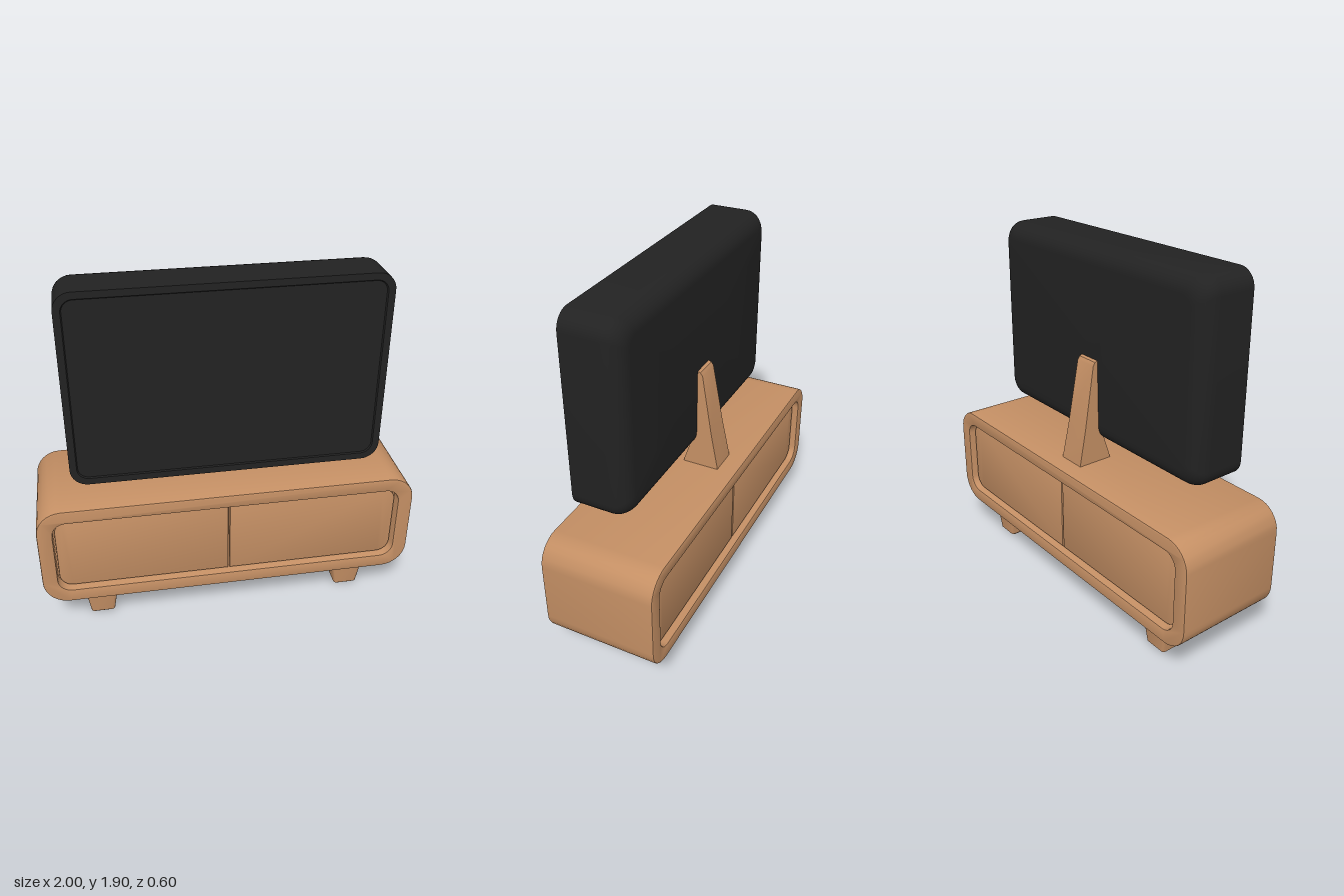
import * as THREE from 'three';
import { toCreasedNormals } from 'three/addons/utils/BufferGeometryUtils.js';

// Points of a rounded rectangle centred on the origin, counter-clockwise.
function roundedRect(w, h, r, steps = 8) {
  const points = [];
  for (let c = 0; c < 4; c++) {
    const cx = (c === 0 || c === 3 ? 1 : -1) * (w / 2 - r);
    const cy = (c < 2 ? 1 : -1) * (h / 2 - r);
    for (let i = 0; i <= steps; i++) {
      const a = (c + i / steps) * Math.PI / 2;
      points.push(new THREE.Vector2(cx + r * Math.cos(a), cy + r * Math.sin(a)));
    }
  }
  return points;
}

// Closed skin over rounded rectangles [w, h, r, z], capped at both ends.
function loft(sections, steps) {
  const pos = [], index = [];
  for (const [w, h, r, z] of sections)
    for (const p of roundedRect(w, h, r, steps)) pos.push(p.x, p.y, z);
  const n = pos.length / 3 / sections.length;
  const last = sections.length - 1;
  const c0 = pos.length / 3, c1 = c0 + 1;
  pos.push(0, 0, sections[0][3], 0, 0, sections[last][3]);
  for (let j = 0; j < n; j++) {
    const k = (j + 1) % n;
    for (let i = 0; i < last; i++) {
      const a = i * n + j, b = i * n + k;
      index.push(a, b, b + n, a, b + n, a + n);
    }
    index.push(c0, k, j, c1, last * n + j, last * n + k);
  }
  const g = new THREE.BufferGeometry();
  g.setAttribute('position', new THREE.Float32BufferAttribute(pos, 3));
  g.setIndex(index);
  return toCreasedNormals(g, 0.6);
}

export function createModel() {
  const group = new THREE.Group();
  const wood = new THREE.MeshStandardMaterial({ color: 0xc48f64 });
  const black = new THREE.MeshStandardMaterial({ color: 0x222222 });
  const add = (name, geometry, material, x = 0, y = 0, z = 0) => {
    const mesh = new THREE.Mesh(geometry, material);
    mesh.name = name;
    mesh.position.set(x, y, z);
    group.add(mesh);
    return mesh;
  };

  // Cabinet shell: rounded tube open at front and back
  const bevel = 0.008;
  const shell = new THREE.Shape(roundedRect(2 - 2 * bevel, 0.585 - 2 * bevel, 0.125));
  shell.holes.push(new THREE.Path(roundedRect(1.84 + 2 * bevel, 0.435 + 2 * bevel, 0.08).reverse()));
  const shellGeometry = new THREE.ExtrudeGeometry(shell, {
    depth: 0.6 - 2 * bevel, bevelSize: bevel, bevelThickness: bevel, bevelSegments: 2,
  }).translate(0, 0, -0.3 + bevel);
  add('cabinetShell', toCreasedNormals(shellGeometry, 0.6), wood, 0, 0.4825);

  // Core behind the door gaps
  add('cabinetCore', new THREE.BoxGeometry(1.86, 0.45, 0.48), wood, 0, 0.4825);

  // Doors, visible in both recesses, with rounded outer corners
  const w = 0.895, h = 0.408, r = 0.065;
  const door = new THREE.Shape();
  door.moveTo(0, -h / 2);
  door.lineTo(w - r, -h / 2);
  door.absarc(w - r, -h / 2 + r, r, -Math.PI / 2, 0);
  door.lineTo(w, h / 2 - r);
  door.absarc(w - r, h / 2 - r, r, 0, Math.PI / 2);
  door.lineTo(0, h / 2);
  const doorGeometry = toCreasedNormals(new THREE.ExtrudeGeometry(door, {
    depth: 0.52, bevelSize: 0.006, bevelThickness: 0.006, bevelSegments: 2, curveSegments: 8,
  }).translate(0.01, 0, -0.26), 0.6);
  add('leftDoor', doorGeometry, wood, 0, 0.4825);
  add('rightDoor', doorGeometry, wood, 0, 0.4825).rotation.z = Math.PI;

  // Tapered feet
  const foot = loft([
    [0.11, 0.11, 0.01, 0], [0.13, 0.13, 0.015, 0.01], [0.19, 0.16, 0.015, 0.2],
  ], 3).rotateX(-Math.PI / 2);
  for (const sx of [-1, 1])
    for (const sz of [-1, 1])
      add(`${sz > 0 ? 'front' : 'back'}${sx > 0 ? 'Left' : 'Right'}Foot`, foot, wood, sx * 0.7, 0, sz * 0.137);

  // Stand: side profile (z, y), narrowing towards the top
  const profile = [
    [0, 0.765], [-0.005, 0.79], [-0.04, 0.9], [-0.06, 1.0], [-0.07, 1.15], [-0.072, 1.335],
    [-0.09, 1.328], [-0.102, 1.31], [-0.16, 0.97], [-0.198, 0.785], [-0.2, 0.765],
  ].map(([z, y]) => new THREE.Vector2(z, y));
  const standGeometry = new THREE.ExtrudeGeometry(new THREE.Shape(profile), { depth: 0.156, bevelEnabled: false })
    .translate(0, 0, -0.078).rotateY(-Math.PI / 2);
  const p = standGeometry.attributes.position;
  for (let i = 0; i < p.count; i++)
    p.setX(i, p.getX(i) * (1 - 0.3 * (p.getY(i) - 0.765)));
  add('stand', toCreasedNormals(standGeometry, 0.5), wood);

  // Screen: domed back edge, straight sides, slightly sunken front face
  const sections = [];
  for (let i = 0; i <= 8; i++) {
    const a = i / 8 * Math.PI / 2;
    const inset = 0.09 * (1 - Math.sin(a));
    sections.push([1.6 - 2 * inset, 1.025 - 2 * inset, 0.09 - 0.4 * inset, 0.025 - 0.1 * Math.cos(a)]);
  }
  sections.push([1.6, 1.025, 0.09, 0.225], [1.53, 0.955, 0.06, 0.225], [1.52, 0.945, 0.055, 0.218]);
  add('screen', loft(sections, 8), black, 0, 1.3925);

  return group;
}
